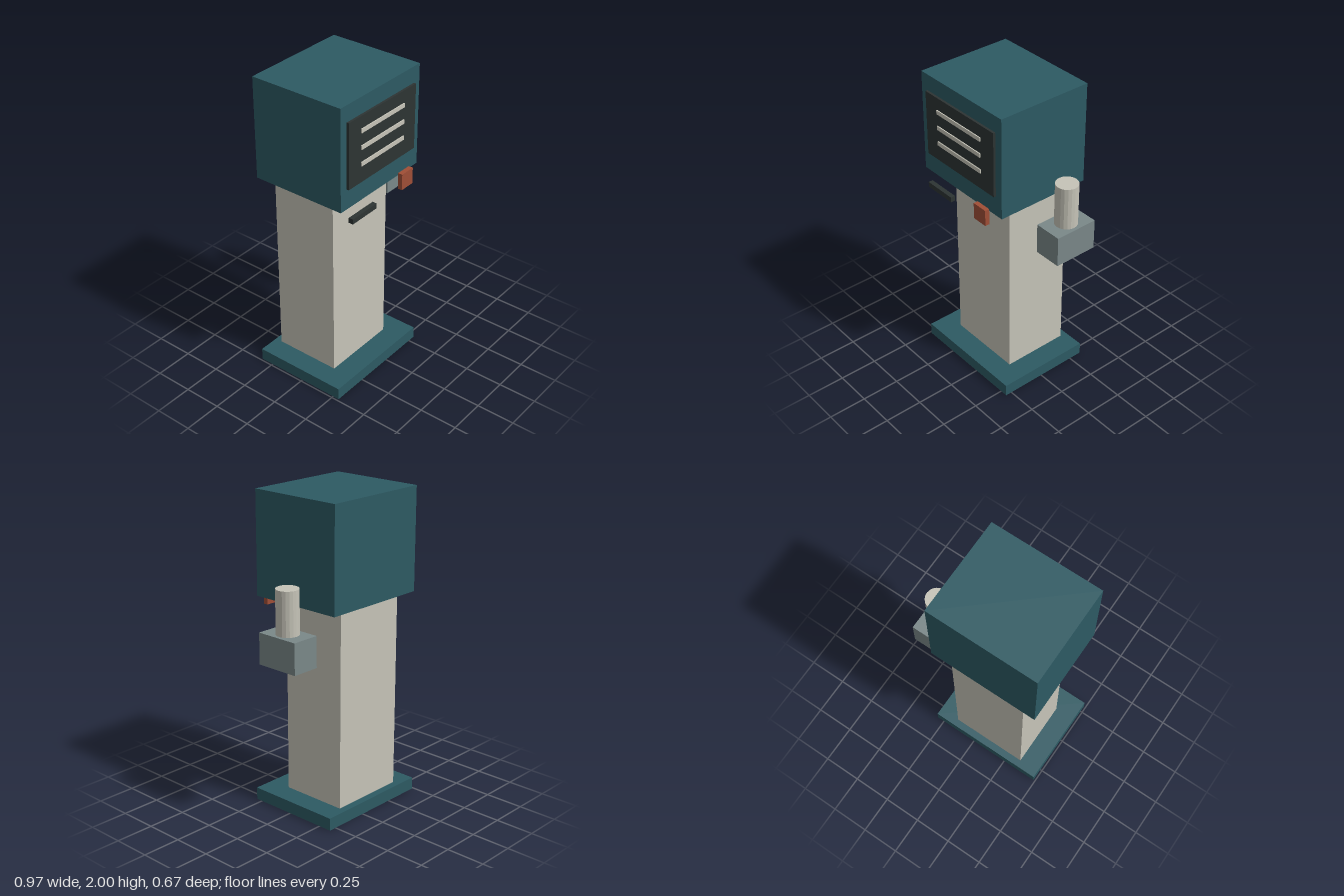
import * as THREE from 'three';

const material = (name, color, flatShading = false) => {
  const m = new THREE.MeshStandardMaterial({ color });
  m.name = name;
  m.flatShading = flatShading;
  return m;
};

export function createModel() {
  const teal = material('teal', 0x2d5a63);
  const cream = material('cream', 0xc6c4b8, true);
  const grey = material('grey', 0x7a8889);
  const charcoal = material('charcoal', 0x2d3433);
  const rust = material('rust', 0xa04e36);
  const model = new THREE.Group();
  model.name = 'pedestalTerminal';

  // Box given by its extents on each axis
  const box = (name, mat, [x0, x1], [y0, y1], [z0, z1]) => {
    const mesh = new THREE.Mesh(new THREE.BoxGeometry(x1 - x0, y1 - y0, z1 - z0), mat);
    mesh.position.set((x0 + x1) / 2, (y0 + y1) / 2, (z0 + z1) / 2);
    mesh.name = name;
    model.add(mesh);
  };

  // Pedestal and head
  const depth = [-0.337, 0.293];
  box('base', teal, [-0.487, 0.3], [0, 0.08], depth);
  box('column', cream, [-0.35, 0.16], [0.08, 1.329], [-0.291, 0.148]);
  box('head', teal, [-0.455, 0.266], [1.345, 2], depth);

  // Front panel with three raised lines
  box('frontPanel', charcoal, [-0.402, 0.214], [1.476, 1.896], [0.293, 0.308]);
  for (const y of [1.595, 1.7, 1.805]) {
    box('panelLine', cream, [-0.295, 0.101], [y - 0.013, y + 0.013], [0.308, 0.315]);
  }

  // Slot bar and button below the head
  box('slotBar', charcoal, [-0.388, -0.167], [1.25, 1.283], [0.296, 0.326]);
  box('button', rust, [0.064, 0.169], [1.265, 1.371], [0.306, 0.336]);

  // Side holder with an upright cup
  box('sideHolder', grey, [0.302, 0.485], [1.022, 1.219], [-0.232, 0.055]);
  const cup = new THREE.Mesh(new THREE.CylinderGeometry(0.071, 0.071, 0.276, 20), cream);
  cup.position.set(0.393, 1.357, -0.088);
  cup.name = 'cup';
  model.add(cup);

  return model;
}
